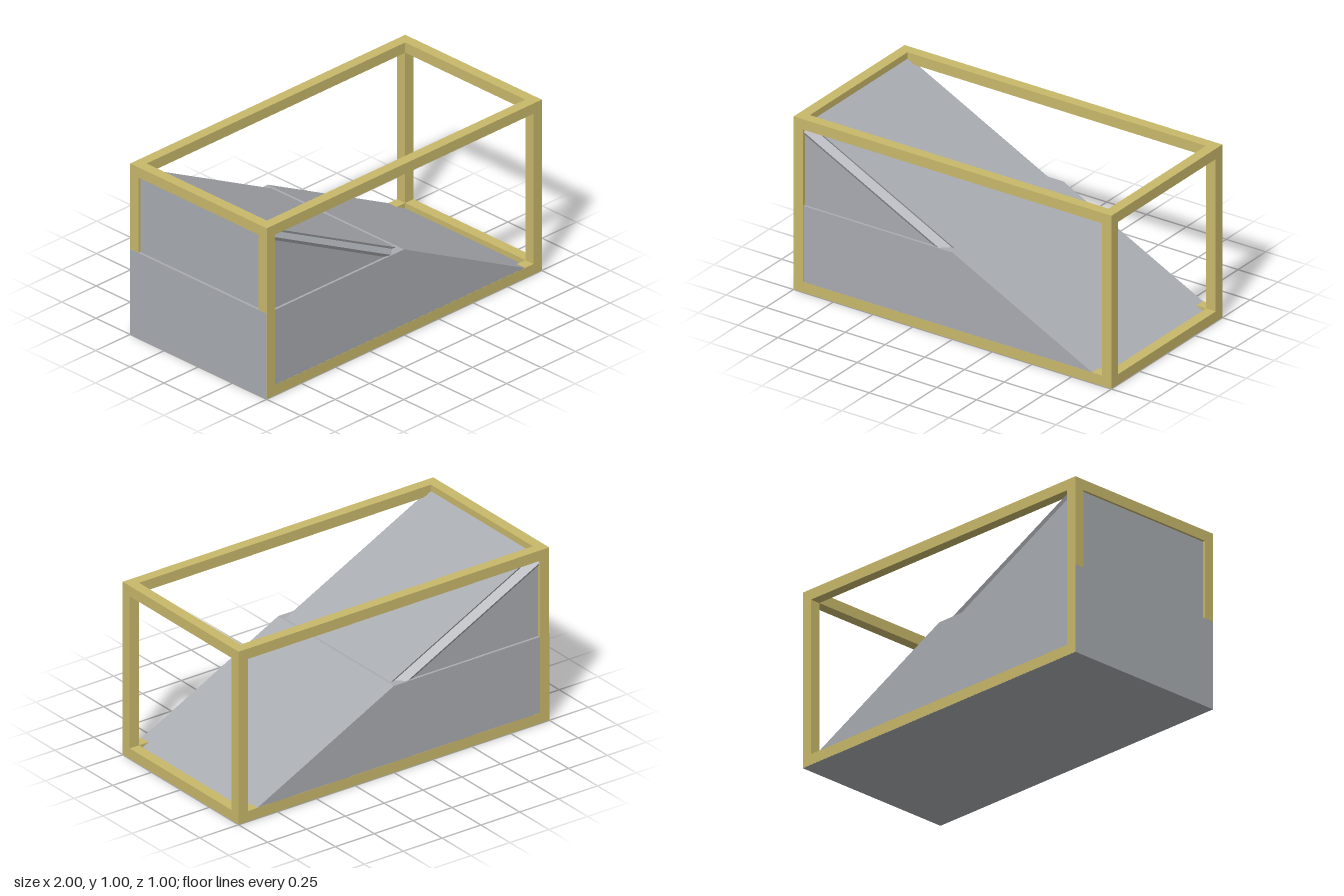
import * as THREE from 'three';

export function createModel() {
  const model = new THREE.Group();
  const gold = new THREE.MeshStandardMaterial({ name: 'gold', color: 0xc9b96b });
  const grey = new THREE.MeshStandardMaterial({ name: 'grey', color: 0xa9acb1 });
  const add = (name, geometry, material) => {
    const mesh = new THREE.Mesh(geometry, material);
    mesh.name = name;
    model.add(mesh);
    return mesh;
  };

  // Open box frame, a hair inside the wedge at the back end and underside
  const T = 0.06, H = T / 2, e = 0.001;
  const bar = (name, w, h, d, x, y, z) =>
    add(name, new THREE.BoxGeometry(w, h, d), gold).position.set(x, y, z);
  for (const s of [-1, 1]) {
    for (const y of [H + e, 1 - H]) {
      bar('longBar', 2 - e, T, T, e / 2, y, s * (0.5 - H));
      bar('crossBar', T, T, 1 - 2 * T, s * (1 - H) + (s < 0 ? e : 0), y, 0);
    }
    for (const x of [-1 + H + e, 1 - H]) bar('post', T, 1 - 2 * T - e, T, x, 0.5 + e / 2, s * (0.5 - H));
  }

  // Lower half of the ramp, cut off level at mid height
  const side = new THREE.Shape([[-1, 0], [1, 0], [0, 0.5], [-1, 0.5]].map(p => new THREE.Vector2(...p)));
  const lower = new THREE.ExtrudeGeometry(side, { depth: 1 - 2 * e, bevelEnabled: false });
  lower.translate(0, 0, -0.5 + e);
  add('lowerRamp', lower, grey);

  // Upper half: cross-section of half width and depth below the slope, with a rail on each edge
  const back = 0.985;
  const half = [[0.455, 0.007], [0.45, 0.02], [0.495, 0.045], [0.485, 0.065], [0.485, back / 2]];
  const outline = [...half, ...half.map(([w, d]) => [-w, d]).reverse()];
  const section = new THREE.Shape(outline.map(p => new THREE.Vector2(...p)));
  const upper = new THREE.ExtrudeGeometry(section, { depth: 1, bevelEnabled: false });

  // Sweep the section up the slope from the mid-height cut to the back face
  const pos = upper.attributes.position;
  for (let i = 0; i < pos.count; i++) {
    const w = pos.getX(i), d = pos.getY(i), t = pos.getZ(i);
    const x = -2 * d + t * (2 * d - back);
    pos.setXYZ(i, x, 0.5 - x / 2 - d, -w);
  }
  upper.computeVertexNormals();
  add('upperRamp', upper, grey);

  return model;
}
